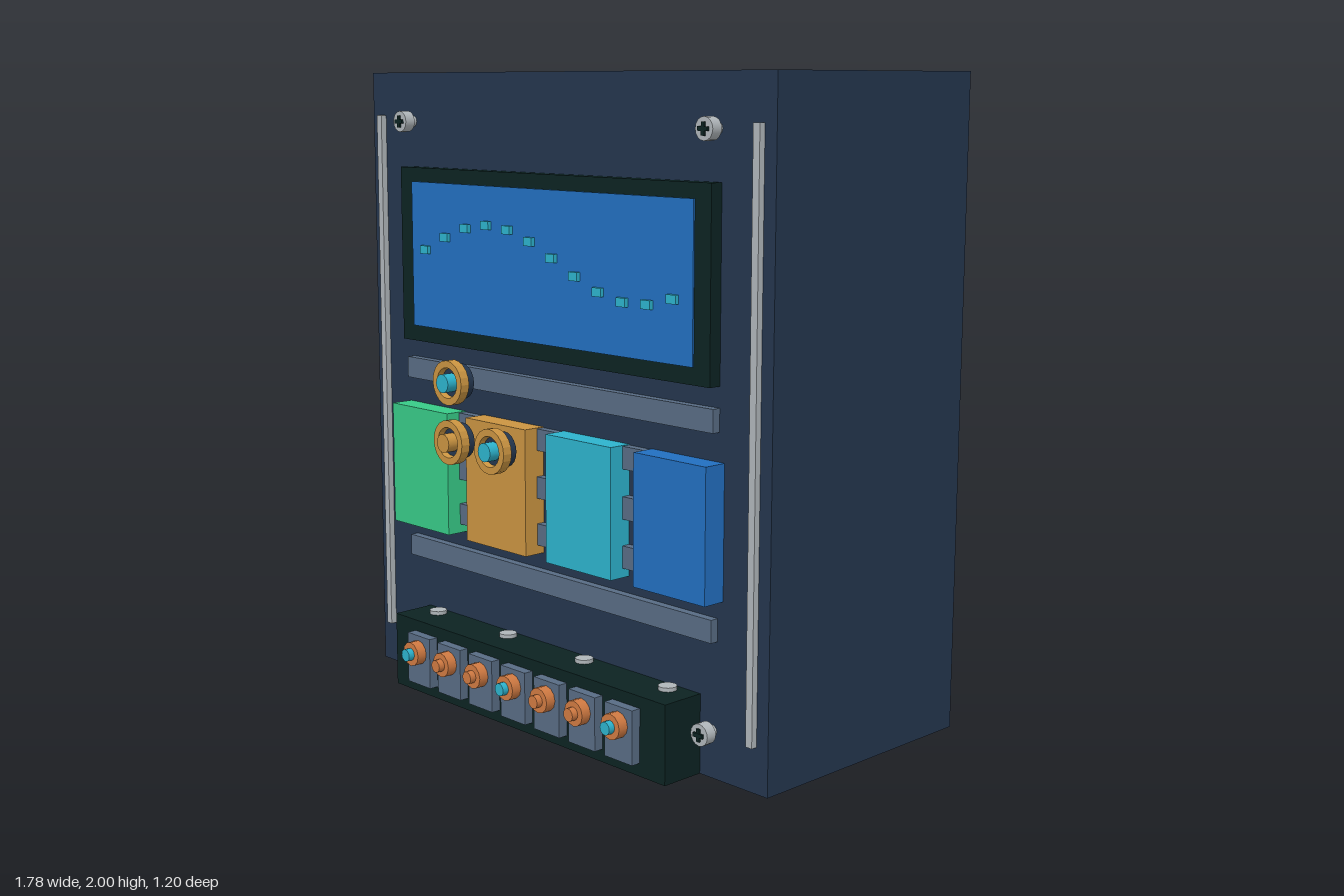
import * as THREE from 'three';

const mat = (name, color) => {
  const m = new THREE.MeshStandardMaterial({ color });
  m.name = name;
  return m;
};

export function createModel() {
  const root = new THREE.Group();
  root.name = 'controlCabinet';
  const navy = mat('navy', 0x24364e), black = mat('greenBlack', 0x0c2322);
  const blue = mat('blue', 0x226fc0), green = mat('green', 0x38ca88);
  const amber = mat('amber', 0xca9441), cyan = mat('cyan', 0x2db3cd);
  const slate = mat('slate', 0x586c84), copper = mat('copper', 0xd07a42);
  const steel = mat('steel', 0xb0b6ba);
  const FACE = 0.245; // front plane of the cabinet

  const add = (name, geometry, material, parent = root) => {
    const mesh = new THREE.Mesh(geometry, material);
    mesh.name = name;
    parent.add(mesh);
    return mesh;
  };
  // box spanning z0..z1, centred on x, y
  const box = (name, m, x, y, w, h, z0, z1, parent) => {
    const b = add(name, new THREE.BoxGeometry(w, h, z1 - z0), m, parent);
    b.position.set(x, y, (z0 + z1) / 2);
    return b;
  };
  // cylinder along z spanning z0..z1
  const disc = (name, m, x, y, r, z0, z1, sides, parent) => {
    const g = new THREE.CylinderGeometry(r, r, z1 - z0, sides).rotateX(Math.PI / 2);
    const c = add(name, g, m, parent);
    c.position.set(x, y, (z0 + z1) / 2);
    return c;
  };
  const group = (name) => {
    const g = new THREE.Group();
    g.name = name;
    root.add(g);
    return g;
  };

  // Cabinet
  box('cabinet', navy, 0, 1, 1.776, 2, -0.6, FACE);

  // Edge strips and corner screws
  for (const s of [-1, 1]) {
    box('edgeStrip', steel, s * 0.833, 1.0, 0.024, 1.725, FACE, 0.265);
    for (const y of [0.142, 1.845]) {
      const screw = group('cornerScrew');
      const x = s * 0.675;
      disc('screwShank', steel, x, y, 0.018, FACE, 0.27, 12, screw);
      disc('screwHead', steel, x, y, 0.033, 0.265, 0.3, 16, screw);
      box('screwSlot', black, x, y, 0.038, 0.012, 0.3, 0.307, screw);
      box('screwSlot', black, x, y, 0.012, 0.038, 0.3, 0.306, screw);
    }
  }

  // Display with a dotted sine trace
  box('displayBezel', black, 0, 1.42, 1.384, 0.56, FACE, 0.286);
  box('displayScreen', blue, 0, 1.423, 1.26, 0.465, 0.286, 0.291);
  for (let i = 0; i < 12; i++) {
    box('traceDot', cyan, -0.555 + i * 0.101, 1.441 + 0.094 * Math.sin(i * 0.5), 0.038, 0.026, 0.291, 0.304);
  }

  // Mounting rails
  for (const y of [1.045, 0.443]) box('wideRail', slate, 0, y, 1.384, 0.068, FACE, 0.272);
  for (const y of [0.89, 0.74, 0.592]) box('moduleRail', slate, 0, y, 1.2, 0.068, FACE, 0.272);

  // Coloured modules
  [green, amber, cyan, blue].forEach((m, i) => {
    box('module', m, -0.571 + i * 0.38, 0.728, 0.286, 0.397, FACE, 0.32);
  });

  // Control knobs: dark body, amber collar, centre cap
  const collar = [[0.04, 0.55], [0.067, 0.55], [0.067, 0.58], [0.046, 0.58], [0.04, 0.55]]
    .map(([r, z]) => new THREE.Vector2(r, z));
  for (const [x, y, cap] of [[-0.096, 1.094, cyan], [-0.096, 0.915, amber], [0.094, 0.915, cyan]]) {
    const knob = group('controlKnob');
    disc('knobBody', navy, x, y, 0.053, 0.52, 0.562, 20, knob);
    const ringGeo = new THREE.LatheGeometry(collar, 20).rotateX(Math.PI / 2).toNonIndexed();
    ringGeo.computeVertexNormals();
    add('knobCollar', ringGeo, amber, knob).position.set(x, y, 0);
    disc('knobCap', cap, x, y, 0.028, 0.56, 0.598, 16, knob);
  }

  // Terminal block with seven terminals
  box('terminalBlock', black, 0, 0.12, 1.254, 0.24, FACE, 0.388);
  for (let i = 0; i < 7; i++) {
    const t = group('terminal');
    const x = (i - 3) * 0.156;
    box('terminalPlate', slate, x, 0.122, 0.114, 0.164, 0.388, 0.419, t);
    disc('terminalNut', copper, x, 0.15, 0.039, 0.419, 0.452, 12, t);
    disc('terminalTip', i % 3 === 0 ? cyan : copper, x, 0.15, 0.02, 0.452, 0.473, 12, t);
  }

  // Small screws on top of the block
  for (let i = 0; i < 4; i++) {
    const s = add('blockScrew', new THREE.CylinderGeometry(0.028, 0.028, 0.012, 14), steel);
    s.position.set(-0.534 + i * 0.356, 0.246, 0.285);
  }
  return root;
}
